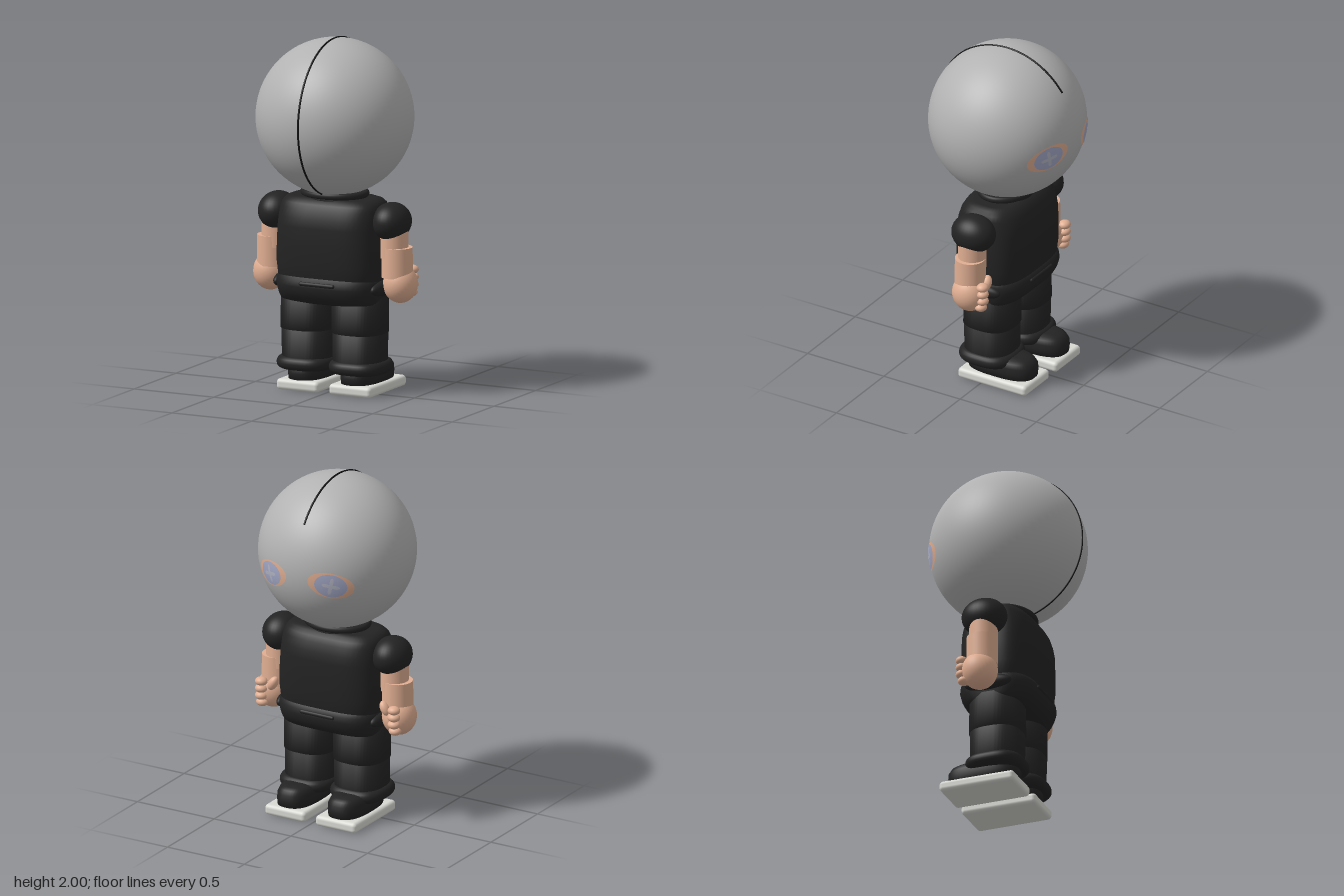
import * as THREE from 'three';
import { RoundedBoxGeometry } from 'three/addons/geometries/RoundedBoxGeometry.js';

const HEAD_Y = 1.558, HEAD_R = 0.443;

const mat = (name, color) => {
  const m = new THREE.MeshStandardMaterial({ color });
  m.name = name;
  return m;
};

// Stacks rounded-rectangle rings [y, halfWidth, halfDepth, zOffset] and closes both ends.
function loft(rings, power = 3, seg = 48) {
  const first = rings[0], last = rings[rings.length - 1];
  const all = [[first[0], 0, 0, first[3]], ...rings, [last[0], 0, 0, last[3]]];
  const pos = [], idx = [];
  const bend = (v) => Math.sign(v) * Math.pow(Math.abs(v), 2 / power);
  all.forEach(([y, w, d, cz = 0], i) => {
    for (let j = 0; j < seg; j++) {
      const t = (j / seg) * Math.PI * 2;
      pos.push(w * bend(Math.cos(t)), y, cz + d * bend(Math.sin(t)));
      if (i === all.length - 1) continue;
      const k = (j + 1) % seg, a = i * seg + j, b = a + seg, c = i * seg + k, e = c + seg;
      idx.push(a, b, c, c, b, e);
    }
  });
  const g = new THREE.BufferGeometry();
  g.setAttribute('position', new THREE.Float32BufferAttribute(pos, 3));
  g.setIndex(idx);
  g.computeVertexNormals();
  return g;
}

// Rings for a soft roll between two heights
function roll(y0, y1, w, d, bulge) {
  const rings = [];
  for (let i = 0; i <= 10; i++) {
    const a = (i / 10 - 0.5) * Math.PI, k = bulge * (1 - Math.cos(a));
    rings.push([(y0 + y1) / 2 + Math.sin(a) * (y1 - y0) / 2, w - k, d - k]);
  }
  return rings;
}

// Flat outline wrapped onto the head sphere, facing +z
function patch(radiusAt, r) {
  const g = new THREE.RingGeometry(0.001, 1, 48, 8);
  const p = g.attributes.position, v = new THREE.Vector3();
  for (let i = 0; i < p.count; i++) {
    const [sx, sy] = radiusAt(Math.atan2(p.getY(i), p.getX(i)));
    v.set(p.getX(i) * sx, p.getY(i) * sy, 0.42).setLength(r);
    p.setXYZ(i, v.x, v.y, v.z);
  }
  g.computeVertexNormals();
  return g;
}

export function createModel() {
  const root = new THREE.Group();
  root.name = 'figure';
  const grey = mat('mask grey', 0xb2b2b2);
  const black = mat('cloth black', 0x232323);
  const seamBlack = mat('seam black', 0x111111);
  const skin = mat('skin', 0xe0ae92);
  const sole = mat('sole white', 0xd9d9d4);
  const eyeBlue = mat('eye blue grey', 0xa3a8c6);
  const starGrey = mat('eye star grey', 0xb4b6c4);

  const add = (name, geo, material, x = 0, y = 0, z = 0, parent = root) => {
    const m = new THREE.Mesh(geo, material);
    m.name = name;
    m.position.set(x, y, z);
    parent.add(m);
    return m;
  };
  const ball = (name, material, x, y, z, rx, ry = rx, rz = rx) => {
    const m = add(name, new THREE.SphereGeometry(1, 32, 24), material, x, y, z);
    m.scale.set(rx, ry, rz);
    return m;
  };

  // Head with a seam running over its crown
  add('head', new THREE.SphereGeometry(HEAD_R, 64, 48), grey, 0, HEAD_Y, 0);
  const path = [];
  for (let i = 0; i <= 32; i++) {
    const a = THREE.MathUtils.degToRad(-75 + (i / 32) * 219);
    path.push(new THREE.Vector3(0, Math.sin(a) * HEAD_R, Math.cos(a) * HEAD_R));
  }
  add('headSeam', new THREE.TubeGeometry(new THREE.CatmullRomCurve3(path), 96, 0.006, 8), seamBlack, 0, HEAD_Y, 0);

  // Eyes in openings of the mask, with a four-pointed glint
  for (const s of [1, -1]) {
    const eye = new THREE.Group();
    eye.name = s > 0 ? 'leftEye' : 'rightEye';
    eye.position.y = HEAD_Y;
    eye.rotation.order = 'YXZ';
    eye.rotation.set(0.125, Math.PI - s * 0.46, s * 0.2);
    root.add(eye);
    add('eyeOpening', patch(() => [0.132, 0.074], HEAD_R + 0.002), skin, 0, 0, 0, eye);
    add('iris', patch(() => [0.09, 0.066], HEAD_R + 0.004), eyeBlue, 0, 0, 0, eye);
    add('eyeStar', patch((t) => {
      const k = 0.014 + 0.036 * Math.pow(Math.abs(Math.cos(2 * t)), 3);
      return [k, k];
    }, HEAD_R + 0.006), starGrey, 0, 0, 0, eye);
  }

  // Shirt
  add('torso', loft([
    [0.6, 0.29, 0.19], [0.66, 0.312, 0.208], [0.74, 0.32, 0.217], [0.85, 0.318, 0.218],
    [0.95, 0.312, 0.216], [1.0, 0.308, 0.207], [1.05, 0.302, 0.19], [1.08, 0.292, 0.172],
    [1.1, 0.272, 0.152], [1.11, 0.24, 0.13],
  ], 3.2), black);
  add('collarBase', loft(roll(1.085, 1.125, 0.185, 0.15, 0.015), 2), black);
  add('collarRim', loft(roll(1.11, 1.147, 0.2, 0.162, 0.015), 2), black);

  // Rolled hem around the hips
  add('hem', loft([
    [0.51, 0.295, 0.14], [0.525, 0.303, 0.175], [0.55, 0.308, 0.2], [0.58, 0.312, 0.217],
    [0.615, 0.318, 0.226], [0.645, 0.316, 0.222], [0.67, 0.308, 0.208], [0.685, 0.29, 0.18],
  ], 3.2), black);
  for (const s of [1, -1]) {
    const fold = add(s > 0 ? 'frontFold' : 'backFold', new THREE.CapsuleGeometry(0.012, 0.2, 6, 16), black, 0, 0.635, s * 0.219);
    fold.rotation.z = Math.PI / 2;
  }

  for (const s of [1, -1]) {
    const side = s > 0 ? 'left' : 'right';
    ball(side + 'HemKnot', black, s * 0.305, 0.615, 0, 0.04, 0.046, 0.14);

    // Trousers
    add(side + 'UpperLeg', loft([[0.35, 0.15, 0.152], [0.56, 0.15, 0.15]], 2.6), black, s * 0.16);
    add(side + 'LowerLeg', loft([[0.13, 0.143, 0.145], [0.352, 0.146, 0.148]], 2.6), black, s * 0.16);
    add(side + 'Cuff', loft(roll(0.12, 0.194, 0.165, 0.17, 0.034), 2.8), black, s * 0.164);

    // Shoe
    add(side + 'Shoe', loft([
      [0.055, 0.105, 0.205, -0.075], [0.1, 0.109, 0.21, -0.075], [0.135, 0.107, 0.206, -0.076],
      [0.16, 0.097, 0.188, -0.077], [0.173, 0.08, 0.165, -0.078], [0.179, 0.05, 0.125, -0.08],
    ], 2.7), black, s * 0.165);
    add(side + 'Sole', new RoundedBoxGeometry(0.264, 0.062, 0.447, 4, 0.022), sole, s * 0.165, 0.034, -0.077);

    // Arm
    ball(side + 'Sleeve', black, s * 0.357, 0.993, 0, 0.108, 0.108, 0.131);
    add(side + 'UpperArm', new THREE.CylinderGeometry(0.08, 0.08, 0.18, 32), skin, s * 0.372, 0.88, 0);
    add(side + 'Forearm', new THREE.CylinderGeometry(0.086, 0.089, 0.17, 32), skin, s * 0.392, 0.767, 0);

    // Closed hand with curled fingers
    ball(side + 'Hand', skin, s * 0.408, 0.643, -0.008, 0.097, 0.108, 0.102);
    for (let i = 0; i < 4; i++) {
      const y = 0.71 - i * 0.042;
      ball(side + 'Finger' + (i + 1), skin, s * 0.432, y, -0.106 + (i === 3 ? 0.012 : 0), 0.036, 0.025, 0.034);
    }
    const thumb = ball(side + 'Thumb', skin, s * 0.365, 0.705, -0.09, 0.027, 0.045, 0.03);
    thumb.rotation.z = s * 0.5;
  }
  return root;
}
